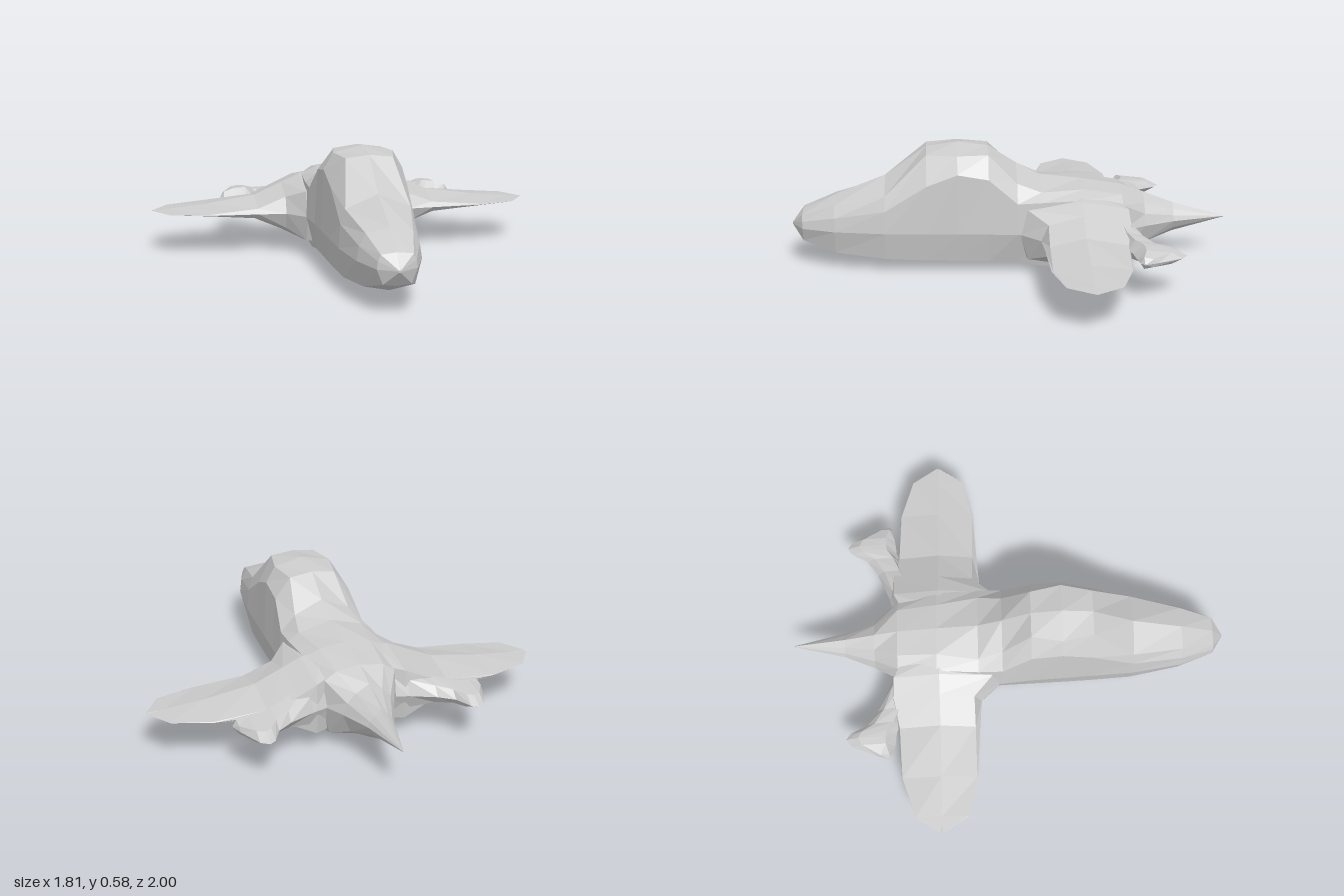
import * as THREE from 'three';

const MID = 0.197; // height of the widest line all round the craft

// Skins a list of equal-sized rings of [x, y, z]; ends are closed with fans.
function loft(name, rings, material, flip = false) {
  const pos = [];
  const tri = (a, b, c) => pos.push(...a, ...(flip ? c : b), ...(flip ? b : c));
  const n = rings[0].length;
  for (let i = 0; i < rings.length - 1; i++) {
    for (let j = 0; j < n; j++) {
      const k = (j + 1) % n;
      tri(rings[i][j], rings[i + 1][j], rings[i + 1][k]);
      tri(rings[i][j], rings[i + 1][k], rings[i][k]);
    }
  }
  const first = rings[0], last = rings[rings.length - 1];
  for (let j = 1; j < n - 1; j++) {
    tri(first[0], first[j], first[j + 1]);
    tri(last[0], last[j + 1], last[j]);
  }
  const geometry = new THREE.BufferGeometry();
  geometry.setAttribute('position', new THREE.Float32BufferAttribute(pos, 3));
  geometry.computeVertexNormals();
  const mesh = new THREE.Mesh(geometry, material);
  mesh.name = name;
  return mesh;
}

// Fuselage cross-section: belly, lower chine, waist, flank, shoulder, spine.
function bodyRing([z, waist, flankX, flankY, shoulderX, shoulderY, top, chineX, chineY, belly]) {
  const half = [[chineX, chineY], [waist, MID], [flankX, flankY], [shoulderX, shoulderY]];
  return [
    [0, belly, z],
    ...half.map(([x, y]) => [x, y, z]),
    [0, top, z],
    ...half.reverse().map(([x, y]) => [-x, y, z]),
  ];
}

// Wing cross-section at x, thickest at its crest line.
function wingRing([x, lead, trail, top, bottom, blunt]) {
  const crest = -0.32;
  const mix = (y) => MID + (y - MID) * blunt;
  return [
    [x, MID, lead],
    [x, mix(top), lead - 0.05 * blunt],
    [x, top, crest],
    [x, mix(top), trail + 0.02 * blunt],
    [x, MID, trail],
    [x, mix(bottom), trail + 0.02 * blunt],
    [x, bottom, crest],
    [x, mix(bottom), lead - 0.05 * blunt],
  ];
}

// Tail pod cross-section at x: full at the front, thin at the rear edge.
function podRing([x, front, rear, top, bottom]) {
  const at = (t) => front + (rear - front) * t;
  const thin = (y) => MID + (y - MID) * 0.7;
  return [
    [x, MID, front],
    [x, top, at(0.2)],
    [x, thin(top), at(0.75)],
    [x, MID, rear],
    [x, thin(bottom), at(0.75)],
    [x, bottom, at(0.2)],
  ];
}

export function createModel() {
  const model = new THREE.Group();
  model.name = 'craft';
  const grey = new THREE.MeshStandardMaterial({ color: 0xcccccc, flatShading: true });

  // Fuselage with raised canopy and pointed tail
  const stations = [
    [1.0, 0.005, 0.005, 0.2, 0.004, 0.202, 0.203, 0.004, 0.193, 0.192],
    [0.95, 0.085, 0.08, 0.23, 0.068, 0.258, 0.265, 0.06, 0.132, 0.125],
    [0.8, 0.138, 0.128, 0.26, 0.1, 0.312, 0.335, 0.11, 0.088, 0.066],
    [0.57, 0.172, 0.163, 0.3, 0.142, 0.365, 0.425, 0.148, 0.067, 0.035],
    [0.38, 0.182, 0.17, 0.42, 0.105, 0.548, 0.56, 0.157, 0.06, 0.025],
    [0.24, 0.19, 0.178, 0.475, 0.135, 0.55, 0.58, 0.162, 0.058, 0.018],
    [0.1, 0.197, 0.18, 0.45, 0.108, 0.545, 0.56, 0.166, 0.056, 0.012],
    [-0.03, 0.21, 0.198, 0.34, 0.13, 0.415, 0.475, 0.168, 0.05, 0.01],
    [-0.14, 0.21, 0.2, 0.345, 0.15, 0.378, 0.418, 0.168, 0.03, 0.007],
    [-0.33, 0.205, 0.19, 0.35, 0.12, 0.38, 0.395, 0.16, 0.023, 0.003],
    [-0.51, 0.175, 0.162, 0.315, 0.11, 0.35, 0.366, 0.14, 0.06, 0.027],
    [-0.62, 0.118, 0.1, 0.25, 0.06, 0.29, 0.325, 0.085, 0.11, 0.07],
    [-0.76, 0.06, 0.05, 0.222, 0.03, 0.245, 0.27, 0.04, 0.16, 0.13],
    [-1.0, 0.002, 0.002, 0.198, 0.001, 0.199, 0.2, 0.001, 0.196, 0.195],
  ];
  model.add(loft('fuselage', stations.map(bodyRing), grey));

  // x, leading z, trailing z, top, bottom, bluntness of the edges
  const wing = [
    [0.12, -0.02, -0.5, 0.37, 0.03, 0.75],
    [0.205, -0.04, -0.545, 0.35, 0.038, 0.75],
    [0.29, -0.13, -0.545, 0.312, 0.083, 0.65],
    [0.42, -0.14, -0.515, 0.255, 0.14, 0.4],
    [0.65, -0.15, -0.5, 0.22, 0.175, 0.15],
    [0.83, -0.2, -0.44, 0.203, 0.191, 0.1],
    [0.905, -0.315, -0.325, 0.199, 0.195, 0.05],
  ];
  // x, front z, rear z, top, bottom
  const pod = [
    [0.14, -0.42, -0.53, 0.315, 0.08],
    [0.23, -0.45, -0.558, 0.295, 0.1],
    [0.35, -0.48, -0.61, 0.257, 0.14],
    [0.42, -0.505, -0.66, 0.245, 0.152],
    [0.46, -0.522, -0.735, 0.243, 0.156],
    [0.49, -0.525, -0.755, 0.241, 0.16],
    [0.525, -0.53, -0.73, 0.238, 0.163],
    [0.575, -0.54, -0.615, 0.225, 0.172],
    [0.592, -0.555, -0.565, 0.2, 0.194],
  ];
  for (const side of [1, -1]) {
    const label = side > 0 ? 'left' : 'right';
    const reach = side > 0 ? 1 : -0.94; // the right pod is slightly shorter
    const place = (ring, s) => ring.map(([x, y, z]) => [x * s, y, z]);
    const wings = wing.map((w) => place(wingRing(w), side));
    const pods = pod.map((p) => place(podRing(p), reach));
    model.add(loft(label + 'Wing', wings, grey, side < 0));
    model.add(loft(label + 'TailPod', pods, grey, side < 0));
  }
  return model;
}
